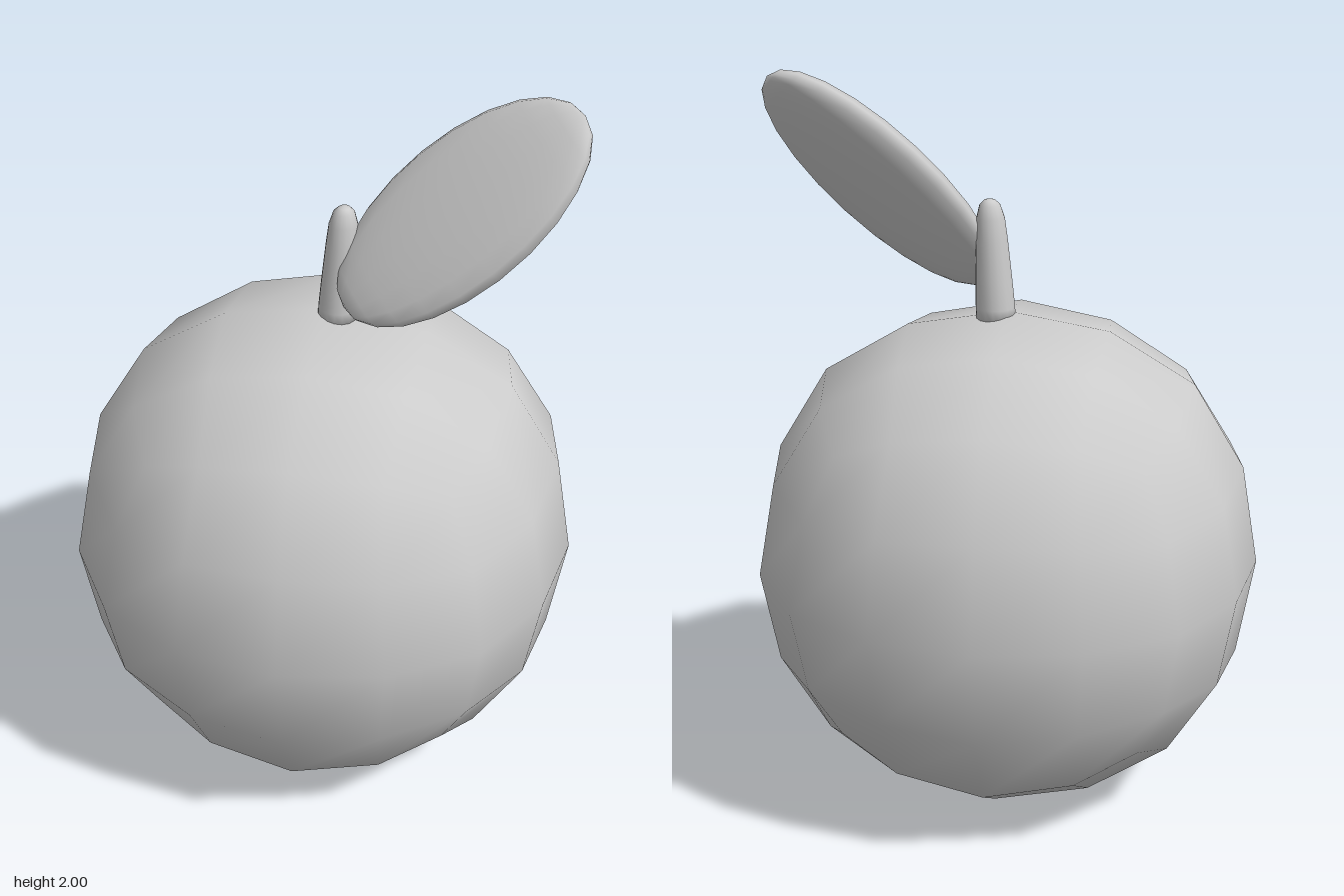
import * as THREE from 'three';
import { mergeVertices } from 'three/addons/utils/BufferGeometryUtils.js';

const grey = new THREE.MeshStandardMaterial({ color: 0xcccccc });

// Welds a geometry, moves its vertices by a rule and gives it smooth normals
function reshape(geometry, rule) {
  geometry.deleteAttribute('uv');
  geometry.deleteAttribute('normal');
  const g = mergeVertices(geometry, 1e-4);
  const p = g.attributes.position;
  const v = new THREE.Vector3();
  for (let i = 0; i < p.count; i++) {
    v.fromBufferAttribute(p, i);
    rule(v);
    p.setXYZ(i, v.x, v.y, v.z);
  }
  g.computeVertexNormals();
  return g;
}

function addPart(group, name, geometry) {
  const mesh = new THREE.Mesh(geometry, grey);
  mesh.name = name;
  group.add(mesh);
  return mesh;
}

// Cube subdivided twice: grid steps (0, 1, 2) of a vertex, sorted, give its rounded coordinates
const ROUNDED = {
  '002': [0, 0, 1],
  '012': [0, 0.398, 0.933],
  '022': [0, 0, 0.732],
  '112': [0, 0.371, 0.870],
  '122': [0, 0.344, 0.682],
  '222': [0, 0, 0.579],
};

function roundedCube(radius) {
  return reshape(new THREE.BoxGeometry(4, 4, 4, 4, 4, 4), (v) => {
    const steps = v.toArray().map((c) => Math.round(Math.abs(c)));
    const table = ROUNDED[[...steps].sort().join('')];
    v.set(...v.toArray().map((c, i) => Math.sign(c) * table[steps[i]] * radius));
  });
}

export function createModel() {
  const model = new THREE.Group();
  model.name = 'fruit';

  // Round body
  addPart(model, 'body', roundedCube(0.685)).position.y = 0.688;

  // Tapered stem with a rounded tip, leaning towards the leaf
  const profile = [
    [0, 0], [0.053, 0], [0.053, 0.04], [0.049, 0.12], [0.043, 0.22],
    [0.038, 0.28], [0.028, 0.315], [0.015, 0.328], [0, 0.332],
  ].map(([r, y]) => new THREE.Vector2(r, y));
  const stem = reshape(new THREE.LatheGeometry(profile, 16), (v) => { v.x += 0.05 * v.y; });
  addPart(model, 'stem', stem).position.set(0.033, 1.345, 0);

  // Leaf: flattened ellipsoid with its poles at base and tip
  const leaf = reshape(new THREE.SphereGeometry(1, 16, 12), (v) => {
    v.set(0.2 * v.x, 0.398 * v.y, 0.05 * Math.sign(v.z) * Math.abs(v.z) ** 0.7);
  });
  const along = new THREE.Vector3(0.719, 0.689, -0.093).normalize();
  const across = new THREE.Vector3(0.577, -0.534, 0.618);
  const normal = new THREE.Vector3().crossVectors(across, along).normalize();
  across.crossVectors(along, normal);
  const leafMesh = addPart(model, 'leaf', leaf);
  leafMesh.quaternion.setFromRotationMatrix(new THREE.Matrix4().makeBasis(across, along, normal));
  leafMesh.position.set(0.35, 1.706, 0.05);

  return model;
}
